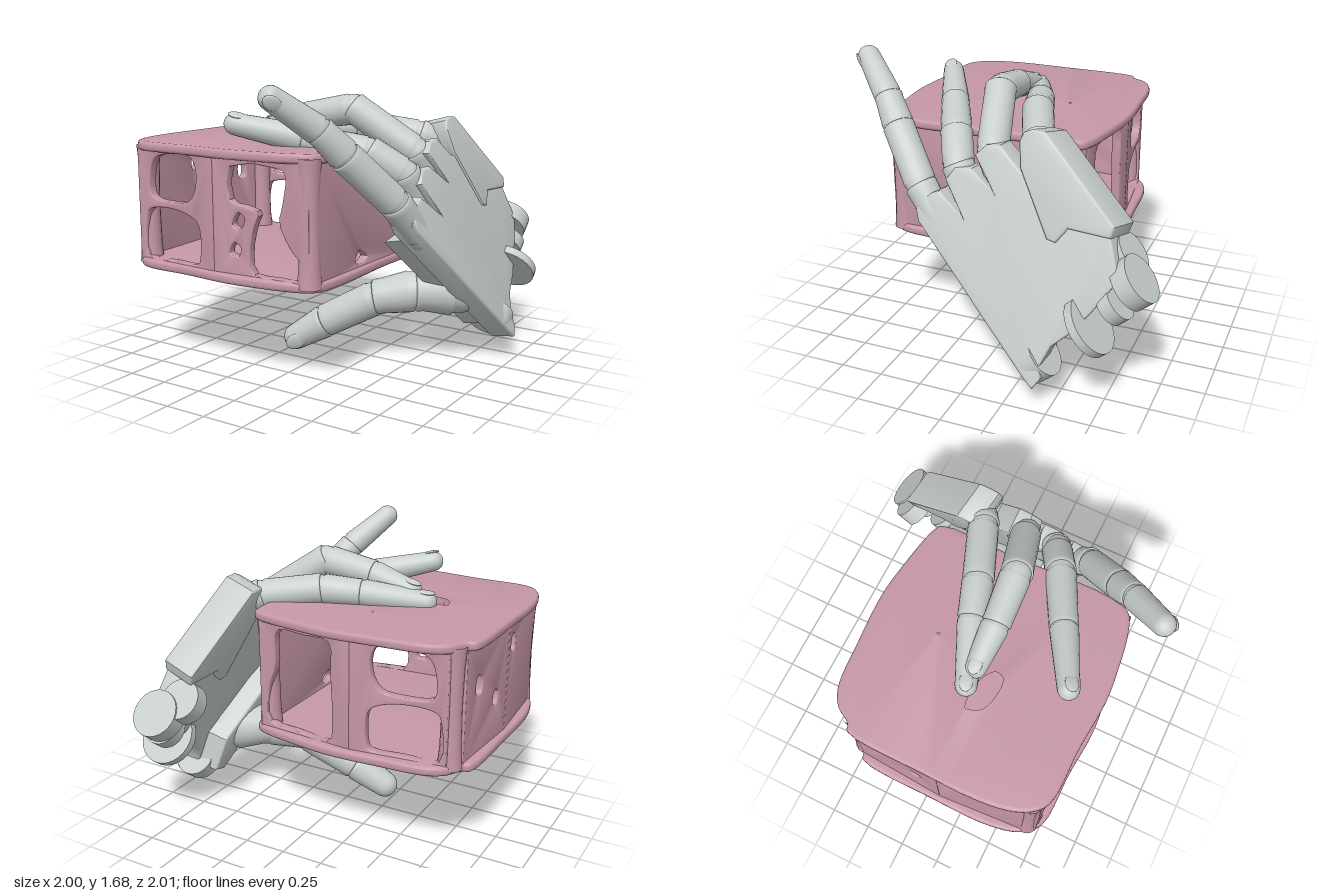
import * as THREE from 'three';
import { toCreasedNormals } from 'three/addons/utils/BufferGeometryUtils.js';

const grey = new THREE.MeshStandardMaterial({ color: 0xc8cfca });
const pink = new THREE.MeshStandardMaterial({ color: 0xc697a7 });
const v3 = (p) => new THREE.Vector3(...p);
const v2 = (list) => list.map(([x, y]) => new THREE.Vector2(x, y));

function add(parent, name, geometry, material) {
  const mesh = new THREE.Mesh(geometry, material);
  mesh.name = name;
  parent.add(mesh);
  return mesh;
}

// Closed soft loop through a few points
function loop(list, n = 40) {
  const curve = new THREE.CatmullRomCurve3(list.map(([x, y]) => new THREE.Vector3(x, y, 0)), true, 'centripetal');
  return curve.getPoints(n).slice(0, n).map((p) => new THREE.Vector2(p.x, p.y));
}

function extrude(points, holes, depth, bevel) {
  const shape = new THREE.Shape(points);
  shape.holes = holes.map((h) => new THREE.Path(h));
  return new THREE.ExtrudeGeometry(shape, {
    depth: depth - 2 * bevel, bevelEnabled: true, bevelSize: bevel, bevelThickness: bevel,
    bevelOffset: -bevel, bevelSegments: 3,
  }).translate(0, 0, bevel);
}

// ---------- hollow box ----------
const outline = [[-0.96, -0.36], [-0.92, -0.38], [-0.86, -0.47], [-0.76, -0.525], [-0.5, -0.55], [-0.2, -0.565], [0, -0.545],
  [0.3, -0.485], [0.345, -0.45], [0.35, 0], [0.36, 0.6], [0.32, 0.72], [0.2, 0.77], [0, 0.8], [-0.2, 0.815], [-0.5, 0.79],
  [-0.84, 0.77], [-0.93, 0.68], [-0.98, 0.5], [-0.985, 0.1]];
const flip = (list) => list.map(([x, z]) => [x, -z]);

function slab(parent, name, y, holes) {
  const g = extrude(loop(flip(outline), 90), holes.map((h) => loop(flip(h), 24)), 0.055, 0.018);
  g.rotateX(-Math.PI / 2).translate(0, y, 0);
  add(parent, name, toCreasedNormals(g, 0.7), pink);
}

// Flat upright panel whose outer face runs from a to b, both [x, z], with a to the left
// as seen from outside; holes are given in [distance from a, y]
function panel(parent, name, a, b, holes) {
  const dx = b[0] - a[0], dz = b[1] - a[1], len = Math.hypot(dx, dz);
  const g = extrude(v2([[0, 0.59], [len, 0.59], [len, 1.29], [0, 1.29]]), holes.map((h) => loop(h, 32)), 0.055, 0.008);
  g.translate(0, 0, -0.055).rotateY(Math.atan2(-dz, dx)).translate(a[0], 0, a[1]);
  add(parent, name, toCreasedNormals(g, 0.7), pink);
}

function makeBox() {
  const box = new THREE.Group();
  box.name = 'hollowBox';
  slab(box, 'boxTop', 1.26, [
    [[-0.59, 0.14], [-0.5, 0.12], [-0.36, 0.15], [-0.3, 0.21], [-0.33, 0.28], [-0.48, 0.28], [-0.56, 0.24]],
    [[-0.28, -0.18], [-0.25, -0.2], [-0.235, -0.16], [-0.26, -0.14]]]);
  slab(box, 'boxBottom', 0.57, []);
  const arch = [[-0.78, 1], [-0.6, 0.98], [-0.48, 1], [-0.43, 1.08], [-0.43, 1.2], [-0.47, 1.25], [-0.62, 1.255], [-0.75, 1.22], [-0.79, 1.12]];
  const pane = [[-0.82, 0.64], [-0.62, 0.635], [-0.43, 0.64], [-0.41, 0.66], [-0.41, 0.86], [-0.47, 0.91], [-0.64, 0.94], [-0.8, 0.92], [-0.82, 0.89]];
  const from = (x0, list) => list.map(([x, y]) => [Math.abs(x - x0), y]);
  panel(box, 'frontWall', [-0.89, 0.745], [-0.3, 0.785], [from(-0.89, arch), from(-0.89, pane)]);
  panel(box, 'frontWall', [-0.3, 0.785], [0.31, 0.745], [
    from(-0.3, [[-0.18, 1.22], [-0.18, 1.03], [-0.09, 1.01], [0, 0.98], [-0.03, 0.9], [-0.06, 0.75], [-0.04, 0.64], [0.1, 0.63],
      [0.26, 0.64], [0.27, 0.72], [0.2, 0.8], [0.13, 0.94], [0.15, 1.03], [0.17, 1.2], [0.13, 1.225]]),
    from(-0.3, [[-0.17, 0.9], [-0.12, 0.88], [-0.09, 0.94], [-0.13, 0.97]]),
    from(-0.3, [[-0.19, 0.74], [-0.13, 0.73], [-0.12, 0.78], [-0.16, 0.8]])]);
  panel(box, 'backWall', [0.31, -0.475], [-0.3, -0.525], [
    from(0.31, [[0.24, 0.66], [0.05, 0.64], [-0.17, 0.64], [-0.19, 0.8], [-0.18, 1.05], [-0.17, 1.22], [0, 1.23], [0.18, 1.22], [0.2, 1], [0.25, 0.85]])]);
  panel(box, 'backWall', [-0.3, -0.525], [-0.86, -0.46], [from(-0.3, arch), from(-0.3, pane)]);
  panel(box, 'rightWall', [0.335, 0.7], [0.335, -0.43], [[[0.39, 0.66], [0.46, 0.64], [0.52, 0.67], [0.48, 0.7], [0.43, 0.72]]]);
  panel(box, 'leftWall', [-0.92, -0.38], [-0.955, 0.15], [
    [[0.13, 0.98], [0.19, 0.97], [0.2, 1.06], [0.14, 1.08]], [[0.35, 0.85], [0.4, 0.83], [0.42, 0.9], [0.37, 0.92]]]);
  panel(box, 'leftWall', [-0.955, 0.15], [-0.92, 0.67], [[[0.05, 1.1], [0.11, 1.08], [0.12, 1.17], [0.06, 1.18]]]);
  [[-0.86, 0.68], [0.28, 0.69], [0.28, -0.41], [-0.85, -0.39]].forEach(([x, z]) => {
    const waist = v2([[0.07, 0], [0.06, 0.12], [0.055, 0.35], [0.06, 0.58], [0.07, 0.7]]);
    add(box, 'cornerPost', new THREE.LatheGeometry(waist, 16), pink).position.set(x, 0.59, z);
  });
  return box;
}

// ---------- hand ----------
const palmX = (y, z) => 1.04 - 0.31 * y - 0.03 * z;

// Plate cut in the side plane from (z, y) corners, leaned onto the back of the hand;
// its inner face is shifted down by dropY and back by dropZ per unit of depth
function plate(parent, name, corners, depth, lift, dropY, dropZ) {
  const g = extrude(v2(corners.map(([z, y]) => [-z, y])), [], depth, 0.015);
  g.rotateY(Math.PI / 2).translate(-depth, 0, 0);
  const p = g.attributes.position;
  for (let i = 0; i < p.count; i++) {
    const d = p.getX(i), y = p.getY(i), z = p.getZ(i);
    p.setXYZ(i, d + lift + palmX(y, z), y + d * dropY, z + d * dropZ);
  }
  add(parent, name, toCreasedNormals(g, 0.6), grey);
}

// Lathe profile set between two points
function turned(parent, name, A, B, profile) {
  const m = add(parent, name, new THREE.LatheGeometry(v2(profile), 20), grey);
  m.position.copy(A);
  m.quaternion.setFromUnitVectors(new THREE.Vector3(0, 1, 0), B.clone().sub(A).normalize());
}

// Quarter-round run of profile points
function arc(r, y, from, to) {
  return Array.from({ length: 7 }, (_, i) => {
    const t = from + (to - from) * i / 6;
    return [Math.max(0, r * Math.cos(t)), y + r * Math.sin(t)];
  });
}

function finger(parent, name, joints, radii, back) {
  const group = new THREE.Group();
  group.name = name;
  parent.add(group);
  const last = joints.length - 1, q = Math.PI / 2;
  for (let i = 0; i < last; i++) {
    const A = v3(joints[i]), B = v3(joints[i + 1]), len = A.distanceTo(B), ra = radii[i], rb = radii[i + 1];
    // ball joint, then a body that ends in a collar around the next ball
    const body = [...arc(ra * 0.92, 0, -q, 0), [ra * 0.92, ra * 0.3], [ra, ra * 0.4]];
    if (i === last - 1) turned(group, 'fingertip', A, B, [...body, ...arc(rb, len, 0, q)]);
    else turned(group, 'fingerLink', A, B, [...body, [rb, len - rb * 0.2], [rb * 1.02, len + rb * 0.1], [rb * 0.94, len + rb * 0.18], [0, len + rb * 0.18]]);
  }
  // nail lying on the back of the tip
  const tip = v3(joints[last]), dir = tip.clone().sub(v3(joints[last - 1])).normalize();
  const up = v3(back).addScaledVector(dir, -v3(back).dot(dir)).normalize();
  const side = new THREE.Vector3().crossVectors(dir, up);
  const nail = add(group, 'nail', new THREE.SphereGeometry(1, 16, 10), grey);
  const r = radii[last];
  nail.scale.set(r * 0.62, r * 0.85, r * 0.2);
  nail.quaternion.setFromRotationMatrix(new THREE.Matrix4().makeBasis(side, dir, up));
  nail.position.copy(tip).addScaledVector(up, r * 0.88).addScaledVector(dir, -r * 0.1);
}

function makeHand() {
  const hand = new THREE.Group();
  hand.name = 'mechanicalHand';
  plate(hand, 'palm', [[0.35, 0.88], [-0.36, 0.19], [-0.42, 0.14], [-0.46, 0.2], [-0.45, 0.27], [-0.5, 0.38], [-0.6, 0.47], [-0.7, 0.6],
    [-0.82, 0.78], [-0.75, 0.98], [-0.42, 1.26], [-0.22, 1.23], [-0.09, 1.34], [-0.01, 1.33], [0.05, 1.27], [-0.08, 1.1],
    [0.06, 1.2], [0.16, 1.19], [0.21, 1.12], [0.08, 0.94], [0.24, 1.06], [0.34, 1.01], [0.37, 0.94]], 0.16, 0, 0.15, 0);
  plate(hand, 'littleFingerMount', [[-0.2, 1.38], [-0.22, 1.43], [-0.27, 1.45], [-0.34, 1.445], [-0.77, 1.04], [-0.75, 0.98], [-0.52, 0.99],
    [-0.46, 0.91], [-0.41, 0.92], [-0.22, 1.25]], 0.22, 0.015, 0.25, 0.2);
  plate(hand, 'thumbMount', [[0.26, 0.84], [-0.36, 0.24], [-0.45, 0.27], [-0.42, 0.48], [-0.1, 0.75], [0.1, 0.87]], 0.28, -0.01, 0.2, 0);

  // wrist hinge discs: [x, y, z, radius, width]
  const axle = new THREE.Vector3(0, 0.64, -0.77).normalize();
  [[0.85, 0.25, -0.4, 0.13, 0.1], [0.84, 0.5, -0.68, 0.17, 0.05], [0.77, 0.62, -0.79, 0.11, 0.08],
    [0.73, 0.74, -0.88, 0.14, 0.1], [0.61, 0.82, -0.8, 0.12, 0.1]].forEach(([x, y, z, r, w]) => {
    const disc = add(hand, 'wristHinge', new THREE.CylinderGeometry(r, r, w, 28), grey);
    disc.position.set(x, y, z);
    disc.quaternion.setFromUnitVectors(new THREE.Vector3(0, 1, 0), axle);
  });

  const taper = [0.085, 0.09, 0.09, 0.082, 0.062];
  finger(hand, 'indexFinger', [[0.69, 0.83, 0.22], [0.63, 1.03, 0.38], [0.46, 1.29, 0.6], [0.37, 1.43, 0.71], [0.21, 1.61, 0.92]],
    [0.08, 0.09, 0.09, 0.08, 0.066], [-0.3, 0.4, 0.7]);
  finger(hand, 'middleFinger', [[0.62, 0.98, 0.08], [0.57, 1.16, 0.18], [0.4, 1.28, 0.27], [0.08, 1.35, 0.43], [-0.27, 1.43, 0.61]],
    taper, [0, 1, 0.3]);
  finger(hand, 'ringFinger', [[0.59, 1.14, -0.08], [0.54, 1.26, -0.01], [0.19, 1.5, 0.09], [-0.1, 1.45, 0.11], [-0.36, 1.38, 0.11]],
    taper, [0, 1, 0]);
  finger(hand, 'littleFinger', [[0.54, 1.29, -0.29], [0.45, 1.33, -0.24], [0.12, 1.38, -0.11], [-0.1, 1.37, -0.04], [-0.46, 1.33, 0.1]],
    taper, [0, 1, 0]);
  finger(hand, 'thumb', [[0.72, 0.43, -0.24], [0.52, 0.43, -0.1], [0.3, 0.38, 0.0], [0.0, 0.21, 0.08], [-0.2, 0.08, 0.13]],
    [0.15, 0.125, 0.105, 0.1, 0.08], [-0.2, -0.5, 0.8]);
  return hand;
}

export function createModel() {
  const model = new THREE.Group();
  model.name = 'handHoldingBox';
  model.add(makeBox(), makeHand());
  return model;
}
